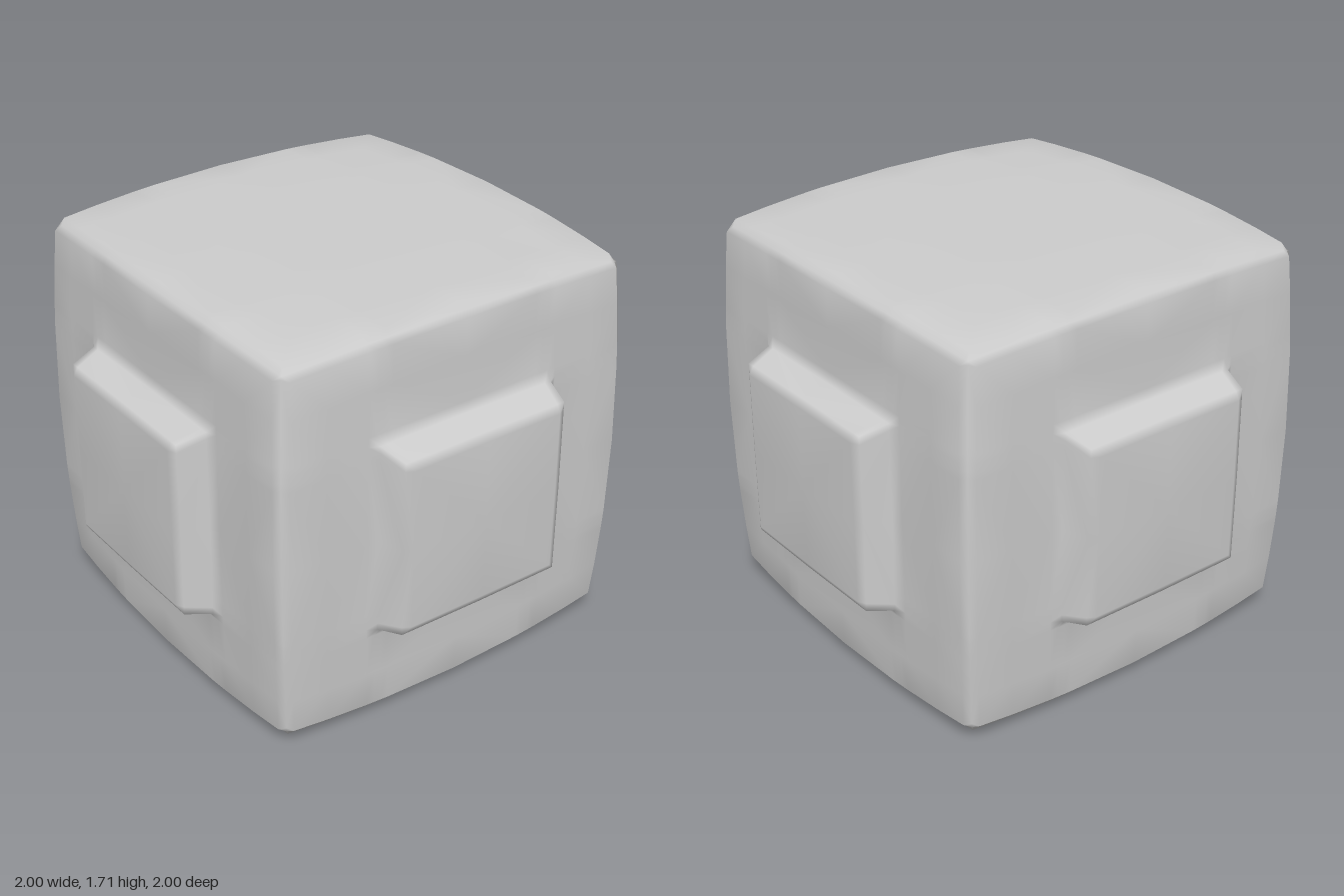
import * as THREE from 'three';
import { mergeVertices, mergeGeometries } from 'three/addons/utils/BufferGeometryUtils.js';

const HALF = 0.855;
const EDGE = 0.8; // where a face meets its chamfer
// raised pad: distance from the face centre -> height of the pad surface
const PAD = [[0, 1], [0.35, 0.998], [0.385, 0.98], [0.415, 0.868]];
const half = [0.35, 0.385, 0.415, 0.455, 0.64, EDGE, 1]; // 1 stands for the cube edge
const stations = [...half.map((s) => -s).reverse(), 0, ...half];

// One point of a bulging face that looks along +z
function facePoint(a, b, padded) {
  const outA = Math.abs(a) === 1, outB = Math.abs(b) === 1;
  const u = outA ? Math.sign(a) : a / EDGE;
  const v = outB ? Math.sign(b) : b / EDGE;
  const edge = (t) => 0.8225 - 0.0375 * t * t; // middle line of the chamfer
  let x = u * (EDGE - 0.03 * v * v);
  let y = v * (EDGE - 0.03 * u * u);
  let z = HALF - 0.01 * (u * u + v * v) - 0.02 * u * u * v * v;
  if (outA && outB) {
    z = edge(1);
    x = u * z;
    y = v * z;
  } else if (outA) {
    z = edge(v);
    x = u * z;
  } else if (outB) {
    z = edge(u);
    y = v * z;
  }
  if (padded) {
    const ring = Math.max(Math.abs(a), Math.abs(b));
    const hit = PAD.find(([r]) => Math.abs(r - ring) < 1e-6);
    if (hit) z = hit[1];
  }
  return [x, y, z];
}

// Grid of quads, split along the diagonals that run out from the centre
function faceGeometry(padded) {
  const n = stations.length, pos = [], index = [];
  for (const b of stations) for (const a of stations) pos.push(...facePoint(a, b, padded));
  for (let j = 0; j < n - 1; j++) {
    for (let i = 0; i < n - 1; i++) {
      const p = j * n + i, q = p + 1, r = p + n + 1, s = p + n;
      const mid = (n - 1) / 2;
      if ((i < mid) === (j < mid)) index.push(p, q, r, p, r, s);
      else index.push(p, q, s, q, r, s);
    }
  }
  const g = new THREE.BufferGeometry();
  g.setAttribute('position', new THREE.Float32BufferAttribute(pos, 3));
  g.setIndex(index);
  return g;
}

export function createModel() {
  const group = new THREE.Group();
  group.name = 'paddedCube';
  const faces = [];
  // four padded sides
  for (let k = 0; k < 4; k++) faces.push(faceGeometry(true).rotateY((k * Math.PI) / 2));
  // plain top and bottom
  for (const s of [-1, 1]) faces.push(faceGeometry(false).rotateX((s * Math.PI) / 2));

  // weld the faces so the shading runs smoothly over the edges
  const geometry = mergeVertices(mergeGeometries(faces), 1e-4);
  geometry.computeVertexNormals();
  const body = new THREE.Mesh(geometry, new THREE.MeshStandardMaterial({ color: 0xcccccc }));
  body.name = 'cubeBody';
  body.position.y = HALF;
  group.add(body);
  return group;
}
